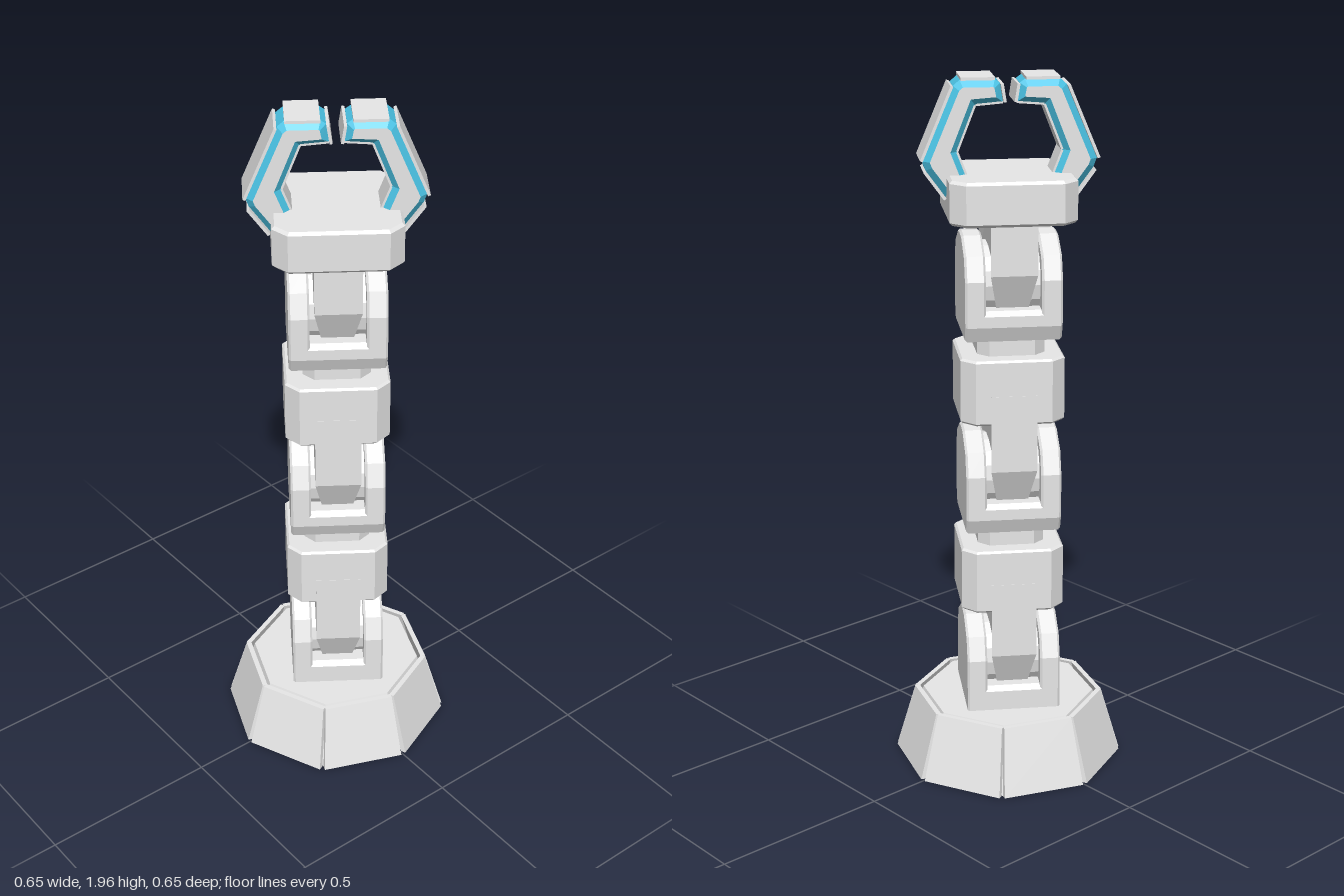
import * as THREE from 'three';

const shell = new THREE.MeshStandardMaterial({ color: 0xeaeaea });
shell.name = 'light grey shell';
const trim = new THREE.MeshStandardMaterial({ color: 0x4fcdf0 });
trim.name = 'blue trim';

function add(parent, name, geometry, material = shell) {
  const flat = geometry.index ? geometry.toNonIndexed() : geometry;
  flat.computeVertexNormals();
  const mesh = new THREE.Mesh(flat, material);
  mesh.name = name;
  parent.add(mesh);
  return mesh;
}

// Bevelled extrusion centred on z, whose outline and depth are the outer sizes
function slab(points, depth, bevel) {
  const shape = new THREE.Shape(points.map(([x, y]) => new THREE.Vector2(x, y)));
  const g = new THREE.ExtrudeGeometry(shape, {
    depth: depth - 2 * bevel, bevelEnabled: bevel > 0, bevelSize: bevel,
    bevelThickness: bevel, bevelOffset: -bevel, bevelSegments: 1,
  });
  return g.translate(0, 0, -depth / 2 + bevel);
}

// Upright square block with cut corners
function block(h, c, y0, y1, bevel) {
  const k = h - c;
  const pts = [[h, -k], [h, k], [k, h], [-k, h], [-h, k], [-h, -k], [-k, -h], [k, -h]];
  return slab(pts, y1 - y0, bevel).rotateX(-Math.PI / 2).translate(0, (y0 + y1) / 2, 0);
}

// Profile drawn in z and y, given by its right half from bottom to top, extruded along x
function crossSlab(half, width, bevel, x, y) {
  const pts = [...half, ...half.filter(p => p[0] > 0).reverse().map(([a, b]) => [-a, b])];
  return slab(pts, width, bevel).rotateY(Math.PI / 2).translate(x, y, 0);
}

// Eight-sided foot with separate sloping armour panels standing off the core
function makeBase() {
  const base = new THREE.Group();
  base.name = 'base';
  const profile = [[0, 0.026], [0.305, 0.026], [0.245, 0.213], [0, 0.213]];
  add(base, 'baseCore', new THREE.LatheGeometry(profile.map(p => new THREE.Vector2(...p)), 8));
  for (let i = 0; i < 8; i++) {
    const g = new THREE.BoxGeometry(2, 1, 1);
    const p = g.attributes.position;
    for (let v = 0; v < p.count; v++) {
      const top = p.getY(v) > 0;
      const outer = p.getZ(v) > 0;
      p.setXYZ(v, p.getX(v) * (top ? 0.1 : 0.117), top ? 0.215 : 0.028,
        (top ? 0.25 : 0.302) - (outer ? 0 : 0.014));
    }
    g.rotateY((i + 0.5) * Math.PI / 4);
    add(base, 'basePanel', g);
  }
  return base;
}

// Hinge: two arched cheeks, a floor, a drum and the tapered tongue of the next link
function makeJoint(c, first) {
  const joint = new THREE.Group();
  joint.name = 'joint';
  const foot = first ? [[0.14, -0.14]] : [[0.122, -0.147], [0.14, -0.105]];
  const cheek = [...foot, [0.14, 0.02], [0.115, 0.085], [0.045, 0.127], [0, 0.132]];
  for (const s of [-1, 1]) {
    add(joint, 'cheek', crossSlab(cheek, 0.056, 0.006, s * 0.103, c));
  }
  const floor = [...foot, [0.14, -0.075], [0.125, -0.062]];
  add(joint, 'yokeFloor', crossSlab(floor, 0.2, 0, 0, c));
  add(joint, 'drum', new THREE.CylinderGeometry(0.105, 0.105, 0.15, 16)
    .rotateZ(Math.PI / 2).translate(0, c, 0));
  const tongue = [[0.1, -0.06], [0.143, 0.035], [0.143, 0.25]];
  const g = crossSlab(tongue, 0.126, 0, 0, c);
  const p = g.attributes.position;
  for (let v = 0; v < p.count; v++) {
    if (p.getY(v) < c) p.setX(v, p.getX(v) * 0.7);
  }
  add(joint, 'tongue', g);
  return joint;
}

// Bent finger: blue body whose chamfers show between the grey sides and grey plates
function makeClaw() {
  const claw = new THREE.Group();
  claw.name = 'claw';
  // Each point starts an edge: outer plate, inner plate or bare blue
  const outline = [
    [0.17, 1.668, 'outerPlate'], [0.224, 1.742], [0.233, 1.766, 'outerPlate'],
    [0.15, 1.963], [0.132, 1.978, 'outerPlate'], [0.04, 1.978],
    [0.026, 1.968, 'outerPlate'], [0.018, 1.918, 'innerPlate'],
    [0.092, 1.912, 'innerPlate'], [0.14, 1.79, 'innerPlate'], [0.105, 1.7, 'outerPlate'],
  ];
  add(claw, 'clawBody', slab(outline, 0.12, 0.018), [shell, trim]);
  outline.forEach(([x0, y0, kind], i) => {
    if (!kind) return;
    const [x1, y1] = outline[(i + 1) % outline.length];
    const raised = kind === 'outerPlate';
    const length = Math.hypot(x1 - x0, y1 - y0) - 0.002;
    const g = new THREE.BoxGeometry(length, raised ? 0.008 : 0.006, raised ? 0.12 : 0.09);
    g.translate(0, raised ? -0.004 : 0, 0);
    g.rotateZ(Math.atan2(y1 - y0, x1 - x0)).translate((x0 + x1) / 2, (y0 + y1) / 2, 0);
    add(claw, kind, g);
  });
  return claw;
}

export function createModel() {
  const model = new THREE.Group();
  model.name = 'roboticArm';
  model.add(makeBase());

  // Everything above the foot is turned about the upright axis
  const arm = new THREE.Group();
  arm.name = 'arm';
  arm.rotation.y = -35 * Math.PI / 180;
  model.add(arm);

  for (let i = 0; i < 3; i++) {
    const c = 0.344 + i * 0.547;
    arm.add(makeJoint(c, i === 0));
    if (i < 2) {
      add(arm, 'linkBox', block(0.142, 0.038, c + 0.168, c + 0.35, 0.006));
      add(arm, 'neck', block(0.092, 0.03, c + 0.34, c + 0.42, 0));
    }
  }

  // Palm and the two facing claws
  add(arm, 'palm', block(0.17, 0.04, 1.61, 1.73, 0.008));
  for (const turn of [0, Math.PI]) {
    const claw = makeClaw();
    claw.rotation.y = turn;
    arm.add(claw);
  }
  return model;
}
